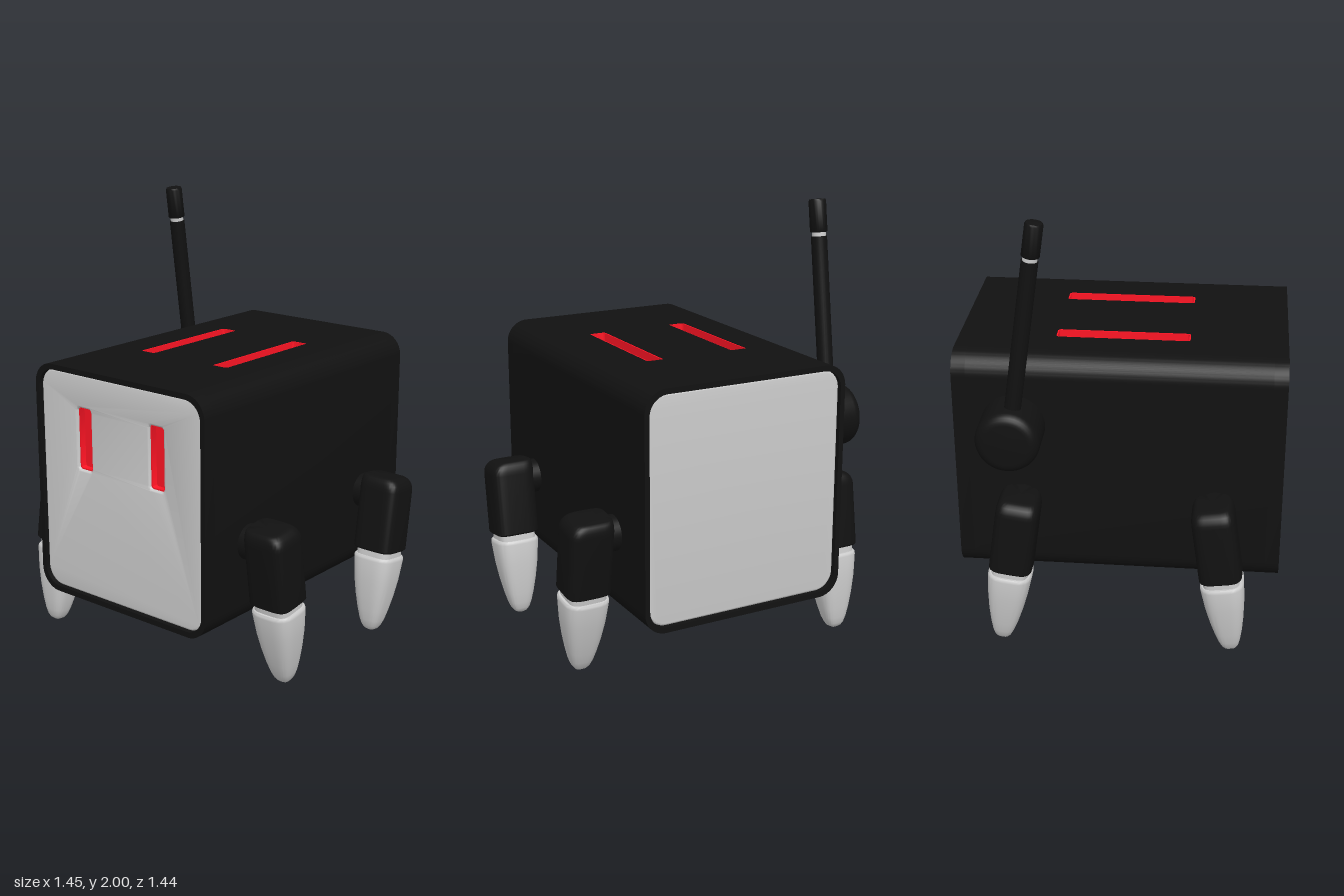
import * as THREE from 'three';
import { toCreasedNormals } from 'three/addons/utils/BufferGeometryUtils.js';

const BLACK = new THREE.MeshStandardMaterial({ color: 0x111111 });
const GREY = new THREE.MeshStandardMaterial({ color: 0xcccccc });
const RED = new THREE.MeshStandardMaterial({ color: 0xff1424 });

const W = 0.975, H = 1.07, CY = 0.812, TOP = CY + H / 2, Z = 0.722;
const RIM = 0.062, GROOVE = 0.045, PLATE_X = 0.38;

function part(parent, name, geometry, material) {
  const mesh = new THREE.Mesh(geometry, material);
  mesh.name = name;
  parent.add(mesh);
  return mesh;
}

// Rounded rectangle, optionally with a wide groove cut in its top edge
function roundedRect(w, h, r, cx = 0, cy = 0, Type = THREE.Shape, groove = 0) {
  const s = new Type(), x = w / 2 - r, y = h / 2 - r, q = Math.PI / 2;
  s.moveTo(cx + w / 2, cy - y);
  s.absarc(cx + x, cy + y, r, 0, q);
  if (groove) {
    const t = cy + h / 2;
    s.lineTo(cx + groove, t);
    s.lineTo(cx + groove, t - GROOVE);
    s.lineTo(cx - groove, t - GROOVE);
    s.lineTo(cx - groove, t);
  }
  s.absarc(cx - x, cy + y, r, q, 2 * q);
  s.absarc(cx - x, cy - y, r, 2 * q, 3 * q);
  s.absarc(cx + x, cy - y, r, 3 * q, 4 * q);
  s.closePath();
  return s;
}

function extrude(shape, depth, bevel = 0) {
  const g = new THREE.ExtrudeGeometry(shape, {
    depth: depth - 2 * bevel, curveSegments: 10, bevelEnabled: bevel > 0,
    bevelThickness: bevel, bevelSize: bevel, bevelOffset: -bevel, bevelSegments: 3,
  });
  g.translate(0, 0, bevel);
  return toCreasedNormals(g, 0.6);
}

// Red recess: thin walls around a sunken floor, opening toward +z
function recess(name, w, l, depth) {
  const g = new THREE.Group();
  g.name = name;
  const wall = roundedRect(w, l, 0.015);
  wall.holes.push(roundedRect(w - 0.012, l - 0.012, 0.01, 0, 0, THREE.Path));
  part(g, name + 'Wall', extrude(wall, depth), RED);
  part(g, name + 'Floor', extrude(roundedRect(w, l, 0.015), 0.006), RED);
  return g;
}

// Soft-square loft from rows of [y, half width x, half width z, shift x]
function loft(rows, power = 4, n = 48) {
  const pos = [], idx = [];
  const soft = (v) => Math.sign(v) * Math.abs(v) ** (2 / power);
  rows.forEach(([y, rx, rz, dx = 0], i) => {
    for (let j = 0; j < n; j++) {
      const t = (j / n) * Math.PI * 2;
      pos.push(dx + rx * soft(Math.cos(t)), y, rz * soft(Math.sin(t)));
      if (i === rows.length - 1) continue;
      const a = i * n + j, c = i * n + (j + 1) % n;
      idx.push(a, a + n, c, c, a + n, c + n);
    }
  });
  const g = new THREE.BufferGeometry();
  g.setAttribute('position', new THREE.Float32BufferAttribute(pos, 3));
  g.setIndex(idx);
  return toCreasedNormals(g, 0.7);
}

function buildBody() {
  const body = new THREE.Group();
  body.name = 'body';
  const inner = Z - RIM;

  // Main block, with a plate set into its top
  part(body, 'bodyCore', extrude(roundedRect(W, H, 0.1, 0, CY, THREE.Shape, PLATE_X), 2 * inner), BLACK).position.z = -inner;
  const plate = roundedRect(2 * PLATE_X, 2 * inner, 0.001);
  for (const s of [-1, 1]) plate.holes.push(roundedRect(0.082, 0.59, 0.015, s * 0.21, 0, THREE.Path));
  const top = part(body, 'topPlate', extrude(plate, GROOVE), BLACK);
  top.rotation.x = -Math.PI / 2;
  top.position.y = TOP - GROOVE;

  // Long recesses on top
  for (const s of [-1, 1]) {
    const slot = recess('topSlot', 0.082, 0.59, GROOVE - 0.002);
    slot.rotation.x = -Math.PI / 2;
    slot.position.set(s * 0.21, TOP - GROOVE, 0);
    body.add(slot);
  }

  // Rims and inset panels at both ends, eyes in the front one
  for (const end of [1, -1]) {
    const face = new THREE.Group();
    face.name = end > 0 ? 'frontFace' : 'backFace';
    face.position.z = end * inner;
    if (end < 0) face.rotation.y = Math.PI;
    const rim = roundedRect(W, H, 0.1, 0, CY);
    rim.holes.push(roundedRect(0.93, 1.02, 0.085, 0, CY, THREE.Path));
    part(face, 'rim', extrude(rim, RIM), BLACK);
    const panel = roundedRect(0.93, 1.02, 0.085, 0, CY);
    if (end > 0) {
      for (const s of [-1, 1]) {
        panel.holes.push(roundedRect(0.08, 0.282, 0.015, s * 0.21, 1.03, THREE.Path));
        const eye = recess('eye', 0.08, 0.282, 0.034);
        eye.position.set(s * 0.21, 1.03, 0);
        face.add(eye);
      }
    }
    part(face, 'panel', extrude(panel, 0.046, 0.01), GREY);
    body.add(face);
  }
  return body;
}

// Leg hanging from its hip at the origin, outer side toward +x
function buildLeg() {
  const leg = new THREE.Group();
  leg.name = 'leg';
  const hip = part(leg, 'hip', new THREE.CylinderGeometry(0.08, 0.08, 0.1, 32), BLACK);
  hip.rotation.z = Math.PI / 2;
  hip.position.x = -0.12;

  // Upper leg, rounded over toward the outside
  const upper = [[-0.255, 0, 0], [-0.255, 0.098, 0.09], [-0.248, 0.104, 0.096]];
  for (let i = 0; i <= 6; i++) {
    const a = (i / 6) * Math.PI / 2, cut = 1 - Math.cos(a);
    upper.push([0.035 + 0.06 * Math.sin(a), 0.104 - 0.03 * cut, 0.095 - 0.03 * cut, -0.022 * cut]);
  }
  upper.push([0.095, 0, 0, -0.022]);
  part(leg, 'upperLeg', loft(upper, 4.5), BLACK);

  part(leg, 'ankle', loft([[-0.3, 0.088, 0.082], [-0.25, 0.088, 0.082]], 4.5), GREY);

  // Tapered foot with a blunt tip
  part(leg, 'foot', loft([
    [-0.656, 0, 0], [-0.654, 0.014, 0.014], [-0.646, 0.029, 0.028], [-0.63, 0.041, 0.039],
    [-0.6, 0.053, 0.05], [-0.55, 0.066, 0.063], [-0.48, 0.081, 0.077], [-0.4, 0.094, 0.089],
    [-0.3, 0.104, 0.098], [-0.289, 0.103, 0.097], [-0.283, 0.098, 0.092], [-0.283, 0, 0],
  ], 3.2), GREY);
  return leg;
}

function buildAntenna() {
  const antenna = new THREE.Group();
  antenna.name = 'antenna';
  antenna.position.set(-0.587, 1.03, -0.458);

  // Round mount on the side of the body
  const profile = [new THREE.Vector2(0.14, -0.11)];
  for (let i = 0; i <= 6; i++) {
    const a = (i / 6) * Math.PI / 2;
    profile.push(new THREE.Vector2(0.095 + 0.045 * Math.cos(a), 0.055 + 0.045 * Math.sin(a)));
  }
  profile.push(new THREE.Vector2(0, 0.1));
  const mount = part(antenna, 'antennaMount', toCreasedNormals(new THREE.LatheGeometry(profile, 40), 0.6), BLACK);
  mount.rotation.z = Math.PI / 2;

  // Leaning rod, ring and tip
  const mast = new THREE.Group();
  mast.name = 'mast';
  mast.rotation.x = 0.14;
  antenna.add(mast);
  part(mast, 'rod', new THREE.CylinderGeometry(0.036, 0.036, 0.81, 24), BLACK).position.y = 0.405;
  part(mast, 'ring', new THREE.CylinderGeometry(0.031, 0.031, 0.04, 24), GREY).position.y = 0.82;
  const tip = [[0, 0.828], [0.036, 0.828], [0.039, 0.832], [0.039, 0.965], [0.035, 0.974], [0, 0.975]];
  part(mast, 'tip', toCreasedNormals(new THREE.LatheGeometry(tip.map((p) => new THREE.Vector2(...p)), 24), 0.7), BLACK);
  return antenna;
}

export function createModel() {
  const model = new THREE.Group();
  model.name = 'robot';
  model.add(buildBody(), buildAntenna());

  // Four legs, leaning in on the left and out on the right
  for (const sx of [1, -1]) {
    for (const sz of [1, -1]) {
      const leg = buildLeg();
      leg.name = (sz > 0 ? 'front' : 'back') + (sx > 0 ? 'Left' : 'Right') + 'Leg';
      leg.position.set(sx * 0.619, 0.65, sz * 0.43);
      leg.rotation.set(sx * sz * 0.14, sx < 0 ? Math.PI : 0, 0);
      model.add(leg);
    }
  }
  return model;
}
